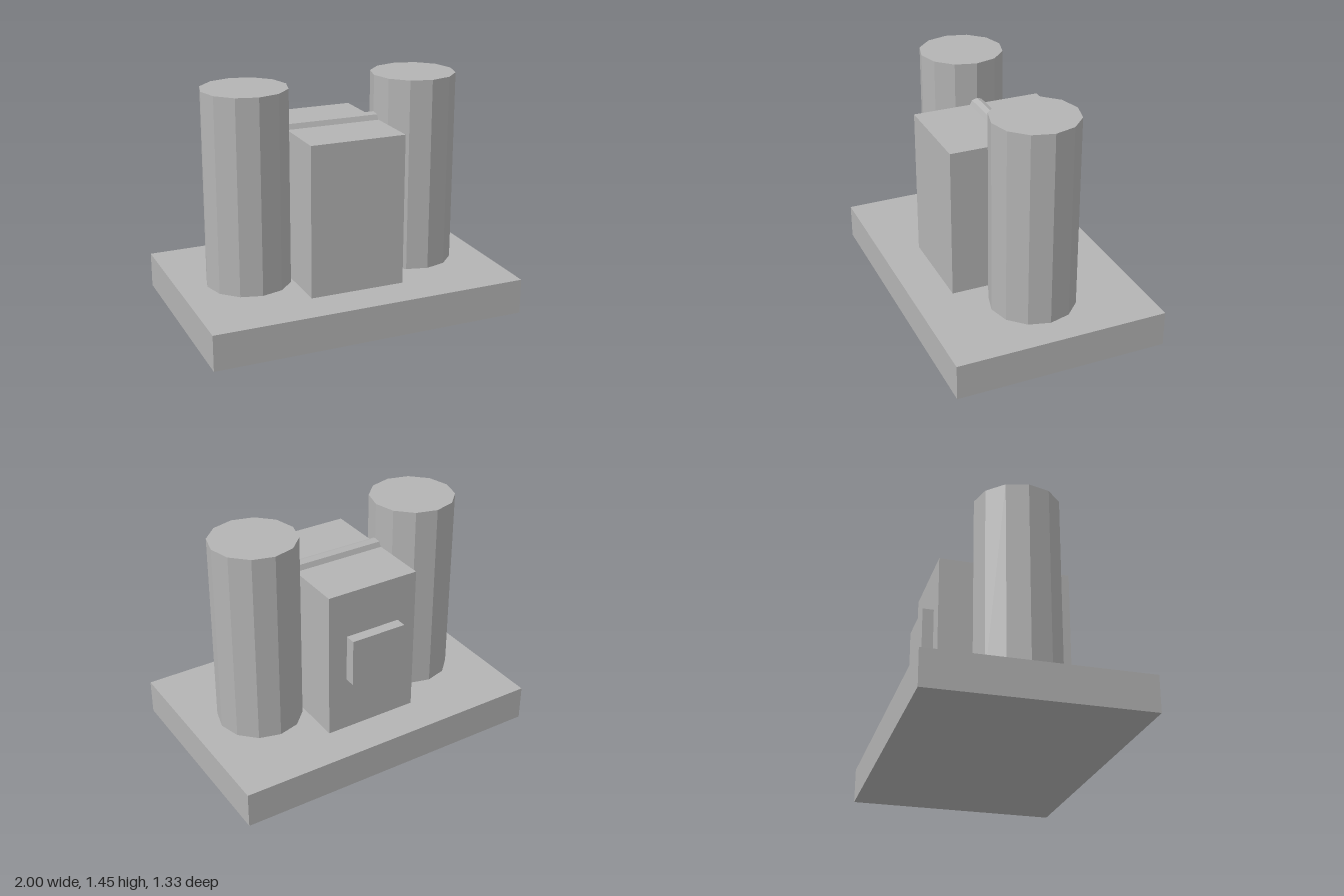
import * as THREE from 'three';

const grey = new THREE.MeshStandardMaterial({ color: 0xb4b4b4 });
grey.name = 'grey';
grey.flatShading = true;

const BASE_TOP = 0.223;
const BLOCK_TOP = 1.17;
const COLUMN_TOP = 1.445;

export function createModel() {
  const group = new THREE.Group();
  group.name = 'model';

  const add = (name, geometry, x, y, z) => {
    const mesh = new THREE.Mesh(geometry, grey);
    mesh.name = name;
    mesh.position.set(x, y, z);
    group.add(mesh);
    return mesh;
  };

  // Box given by its bottom and top heights
  const addBox = (name, width, bottom, top, depth, z = 0) =>
    add(name, new THREE.BoxGeometry(width, top - bottom, depth), 0, (bottom + top) / 2, z);

  // Base slab and the block between the columns
  addBox('base', 2, 0, BASE_TOP, 1.333);
  addBox('centreBlock', 0.605, BASE_TOP, BLOCK_TOP, 0.831);

  // Raised panel on the back of the block
  addBox('backPanel', 0.36, 0.575, 0.877, 0.07, -0.45);

  // Twelve-sided columns on both sides
  for (const side of [1, -1]) {
    const height = COLUMN_TOP - BASE_TOP;
    add(side > 0 ? 'leftColumn' : 'rightColumn',
      new THREE.CylinderGeometry(0.266, 0.266, height, 12),
      side * 0.555, BASE_TOP + height / 2, 0);
  }

  // Eight-sided rod half sunk into the top of the block
  const rod = add('topRod', new THREE.CylinderGeometry(0.045, 0.045, 0.605, 8), 0, BLOCK_TOP, 0);
  rod.rotation.z = Math.PI / 2;

  return group;
}
